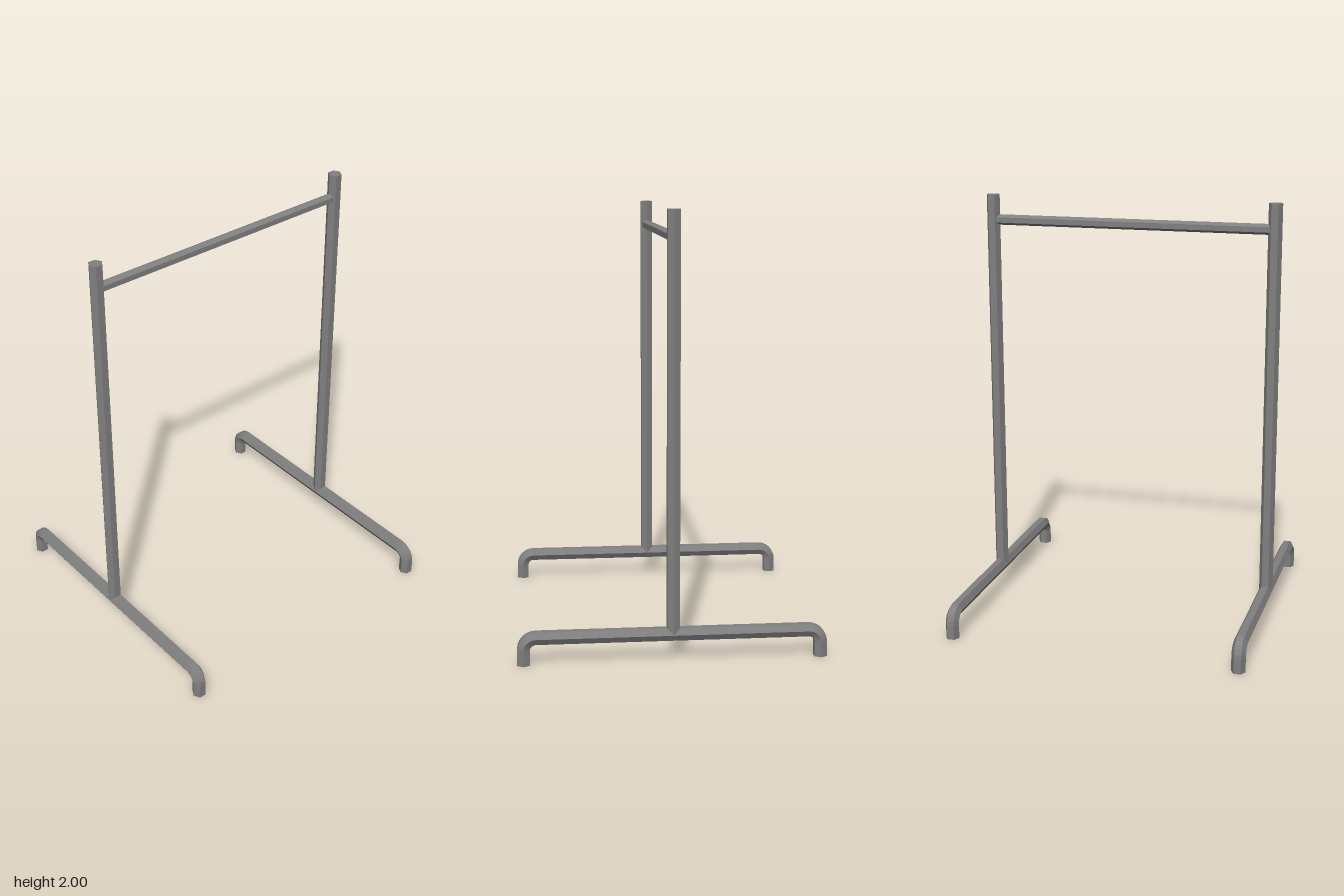
import * as THREE from 'three';

const SIDES = 6;
const POST_X = 0.682, TUBE_R = 0.0328;
const RAIL_Y = 1.88, RAIL_R = 0.025;
const FOOT_Y = 0.123, FOOT_Z = 0.667, BEND_R = 0.055, BEND_STEPS = 6;

// Straight hexagonal bar along y, with points towards +x and -x
function hexBar(radius, length) {
  return new THREE.CylinderGeometry(radius, radius, length, SIDES).rotateY(Math.PI / 6);
}

// Foot path in the yz plane: up, bend, along z, bend, down
function footStations() {
  const stations = [{ y: 0, z: -FOOT_Z, a: 0 }];
  for (const end of [-1, 1]) {
    const cz = end * (FOOT_Z - BEND_R), cy = FOOT_Y - BEND_R;
    for (let i = 0; i <= BEND_STEPS; i++) {
      const a = (i / BEND_STEPS + (end > 0 ? 1 : 0)) * Math.PI / 2;
      stations.push({ y: cy + BEND_R * Math.sin(a), z: cz - BEND_R * Math.cos(a), a });
    }
  }
  stations.push({ y: 0, z: FOOT_Z, a: Math.PI });
  return stations;
}

// Hexagonal tube swept along the foot path, closed at both ends
function footGeometry() {
  const pos = [], idx = [];
  const stations = footStations();
  for (const { y, z, a } of stations) {
    for (let j = 0; j < SIDES; j++) {
      const t = j / SIDES * Math.PI * 2;
      const n = TUBE_R * Math.sin(t);
      pos.push(TUBE_R * Math.cos(t), y + n * Math.sin(a), z - n * Math.cos(a));
    }
  }
  const last = (stations.length - 1) * SIDES;
  for (let s = 0; s < last; s += SIDES) {
    for (let j = 0; j < SIDES; j++) {
      const k = (j + 1) % SIDES;
      idx.push(s + j, s + k, s + SIDES + k, s + j, s + SIDES + k, s + SIDES + j);
    }
  }
  for (let j = 1; j < SIDES - 1; j++) {
    idx.push(0, j + 1, j, last, last + j, last + j + 1);
  }
  const g = new THREE.BufferGeometry();
  g.setAttribute('position', new THREE.Float32BufferAttribute(pos, 3));
  g.setIndex(idx);
  const flat = g.toNonIndexed();
  flat.computeVertexNormals();
  return flat;
}

export function createModel() {
  const group = new THREE.Group();
  const steel = new THREE.MeshStandardMaterial({ color: 0x808080, flatShading: true });
  steel.name = 'grey steel';

  const add = (name, geometry, x, y) => {
    const mesh = new THREE.Mesh(geometry, steel);
    mesh.name = name;
    mesh.position.set(x, y, 0);
    group.add(mesh);
  };

  // Upright and bent foot on each side
  const post = hexBar(TUBE_R, 2 - FOOT_Y);
  const foot = footGeometry();
  for (const [side, s] of [['left', 1], ['right', -1]]) {
    add(side + 'Post', post, s * POST_X, (2 + FOOT_Y) / 2);
    add(side + 'Foot', foot, s * POST_X, 0);
  }

  // Hanging rail between the uprights
  add('hangingRail', hexBar(RAIL_R, 2 * POST_X - 0.03).rotateZ(Math.PI / 2), 0, RAIL_Y);
  return group;
}
